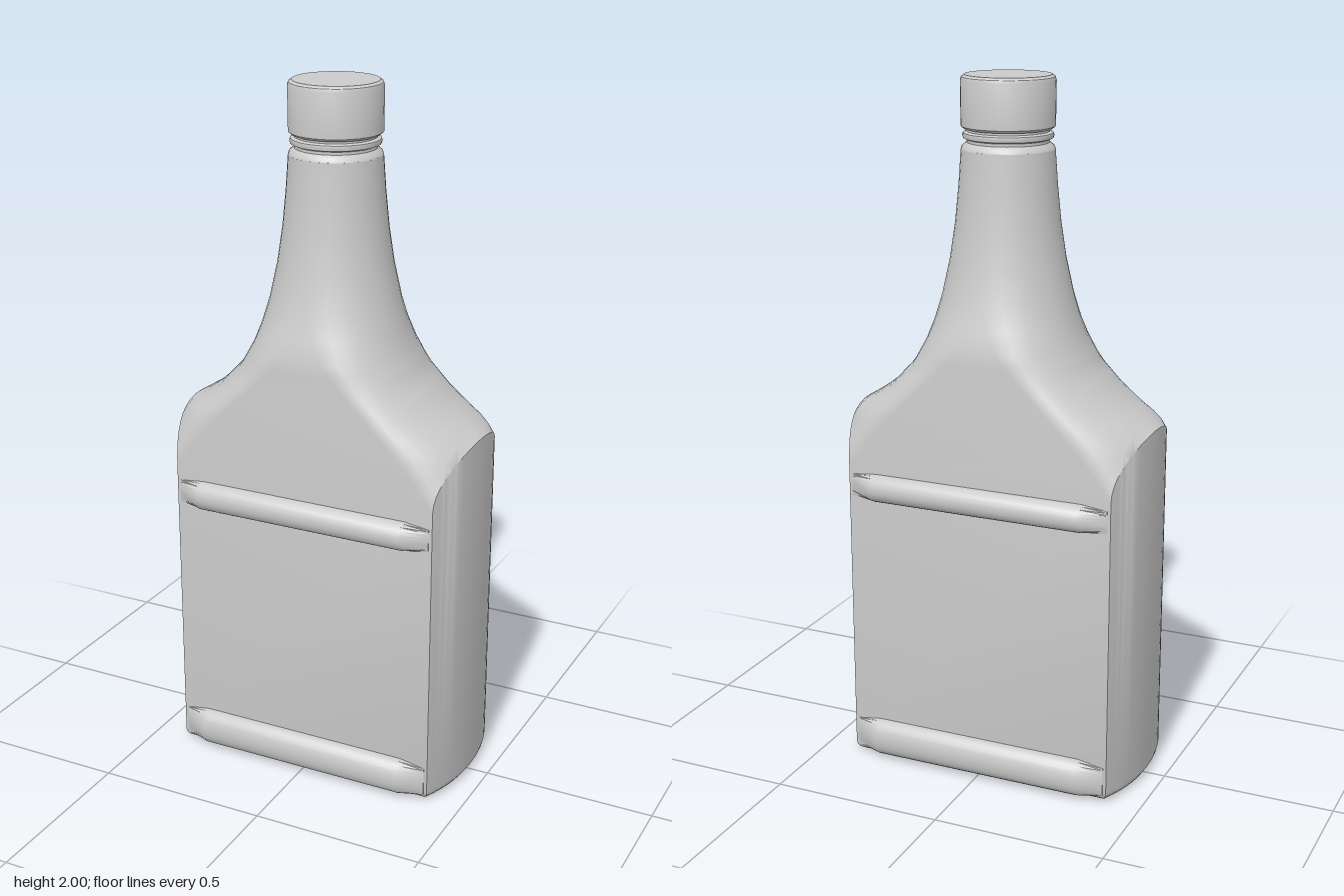
import * as THREE from 'three';
import { toCreasedNormals } from 'three/addons/utils/BufferGeometryUtils.js';

const material = new THREE.MeshStandardMaterial({ color: 0xcccccc });
const DEPTH = 0.22;

// Shoulder and neck sections: height, half width, half width of the flat face, half depth
const SECTIONS = [
  [0.90, 0.52, 0.40, 0.22], [1.00, 0.47, 0.32, 0.22], [1.05, 0.447, 0.273, 0.22],
  [1.09, 0.382, 0.235, 0.22], [1.13, 0.328, 0.195, 0.22], [1.20, 0.262, 0.12, 0.22],
  [1.27, 0.224, 0.06, 0.22], [1.33, 0.203, 0.025, 0.203], [1.40, 0.184, 0, 0.184],
  [1.50, 0.162, 0, 0.162], [1.60, 0.147, 0, 0.147], [1.70, 0.137, 0, 0.137], [1.80, 0.13, 0, 0.13],
];

function sectionAt(y) {
  let i = 0;
  while (i < SECTIONS.length - 2 && y > SECTIONS[i + 1][0]) i++;
  const [a, b] = [SECTIONS[i], SECTIONS[i + 1]];
  const t = THREE.MathUtils.clamp((y - a[0]) / (b[0] - a[0]), 0, 1);
  return a.map((v, k) => THREE.MathUtils.lerp(v, b[k], t));
}

const sideX = (z) => 0.447 - 0.047 * Math.pow(Math.abs(z) / DEPTH, 2.2);

function shoulderPoint(angle, y, clampSide) {
  const [, w, f, d] = sectionAt(y);
  const z = d * Math.sin(angle);
  const x = f + (w - f) * Math.cos(angle);
  return [clampSide ? Math.min(x, sideX(z)) : x, y, z];
}

// Bottle body: stacked loops, from the recess under the base up to the neck
function bodyGeometry() {
  const steps = 20;
  const rows = [];
  const wall = (sx, sz, y) => (a) => {
    const z = DEPTH * Math.sin(a);
    return [sideX(z) * sx, y, z * sz];
  };
  const arch = (a) => 0.9 + 0.15 * Math.cos(a);

  // recessed base panel
  rows.push(wall(0, 0, 0.03), wall(0.62, 0.45, 0.03), wall(0.7, 0.58, 0));
  // rounded bottom edge
  for (let i = 0; i <= 4; i++) {
    const t = (i / 4) * Math.PI / 2;
    const inset = 0.03 * (1 - Math.sin(t));
    rows.push(wall(1 - inset / 0.447, 1 - inset / DEPTH, 0.03 * (1 - Math.cos(t))));
  }
  // side walls end in an arch
  rows.push((a) => wall(1, 1, arch(a))(a));
  // shoulders
  for (let i = 1; i <= 10; i++) {
    rows.push((a) => shoulderPoint(a, THREE.MathUtils.lerp(arch(a), 1.27, i / 10), true));
  }
  // neck
  for (const [y] of SECTIONS.slice(7)) rows.push((a) => shoulderPoint(a, y, false));

  const positions = [];
  const index = [];
  const n = 2 * (steps + 1);
  for (const row of rows) {
    for (const side of [1, -1]) {
      for (let j = 0; j <= steps; j++) {
        const [x, y, z] = row(side * (Math.PI / 2 - (j / steps) * Math.PI));
        positions.push(side * x, y, z);
      }
    }
  }
  for (let i = 0; i < rows.length - 1; i++) {
    for (let j = 0; j < n; j++) {
      const a = i * n + j;
      const b = i * n + (j + 1) % n;
      index.push(a, b, b + n, a, b + n, a + n);
    }
  }
  const geometry = new THREE.BufferGeometry();
  geometry.setAttribute('position', new THREE.Float32BufferAttribute(positions, 3));
  geometry.setIndex(index);
  return toCreasedNormals(geometry, 0.6);
}

// Raised bar with wedge-shaped ends
function barGeometry(radius) {
  const geometry = new THREE.CylinderGeometry(1, 1, 3, 20, 3);
  geometry.rotateZ(Math.PI / 2);
  const p = geometry.attributes.position;
  for (let i = 0; i < p.count; i++) {
    const end = Math.abs(p.getX(i)) > 1;
    p.setXYZ(i, Math.sign(p.getX(i)) * (end ? 0.39 : 0.315),
      p.getY(i) * radius * (end ? 0.8 : 1), p.getZ(i) * (end ? 0.002 : 0.04));
  }
  return toCreasedNormals(geometry, 0.6);
}

function lathe(points) {
  const geometry = new THREE.LatheGeometry(points.map(([r, y]) => new THREE.Vector2(r, y)), 32);
  return toCreasedNormals(geometry, 0.6);
}

export function createModel() {
  const group = new THREE.Group();
  const add = (name, geometry, y = 0, z = 0) => {
    const mesh = new THREE.Mesh(geometry, material);
    mesh.name = name;
    mesh.position.set(0, y, z);
    group.add(mesh);
  };

  add('body', bodyGeometry());

  // bars framing the front and back panels
  add('frontUpperBar', barGeometry(0.042), 0.82, DEPTH);
  add('backUpperBar', barGeometry(0.04), 0.845, -DEPTH);
  add('frontLowerBar', barGeometry(0.055), 0.065, DEPTH);
  add('backLowerBar', barGeometry(0.055), 0.065, -DEPTH);

  // neck lip and sealing ring
  add('neckRing', lathe([
    [0.13, 1.8], [0.127, 1.808], [0.114, 1.818], [0.114, 1.826], [0.124, 1.83],
    [0.126, 1.837], [0.124, 1.844], [0.114, 1.848], [0.114, 1.862],
  ]));

  // cap
  add('cap', lathe([
    [0, 1.855], [0.122, 1.855], [0.13, 1.862], [0.131, 1.985], [0.128, 1.994], [0.12, 2], [0, 2],
  ]));

  return group;
}
